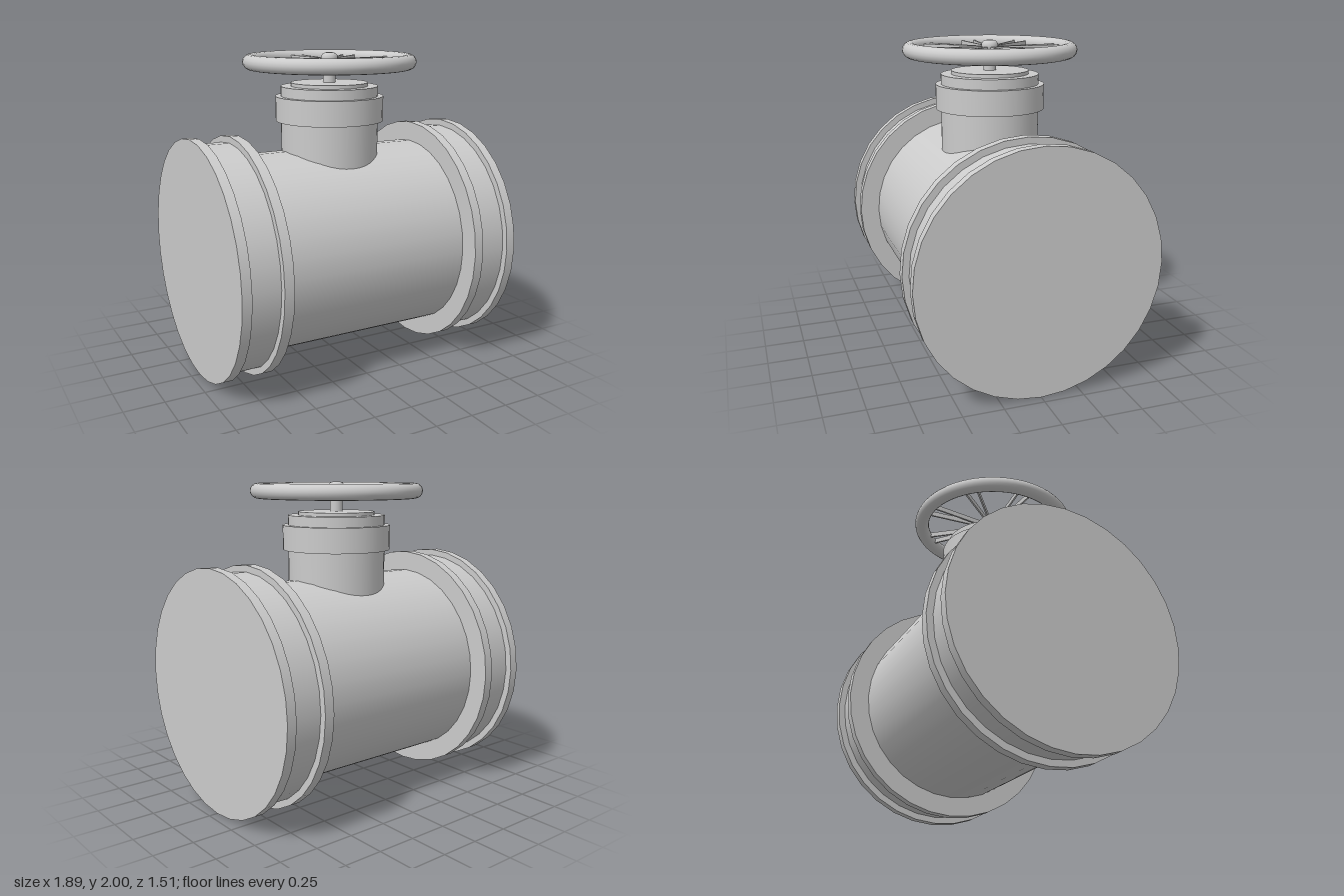
import * as THREE from 'three';

const material = new THREE.MeshStandardMaterial({ color: 0xcccccc });
const AXIS_Y = 0.757; // height of the pipe axis

function add(parent, name, geometry) {
  const mesh = new THREE.Mesh(geometry, material);
  mesh.name = name;
  parent.add(mesh);
  return mesh;
}

// Cylinder along x between x0 and x1
function pipe(parent, name, radius, x0, x1) {
  const g = new THREE.CylinderGeometry(radius, radius, x1 - x0, 32);
  g.rotateZ(-Math.PI / 2);
  g.translate((x0 + x1) / 2, AXIS_Y, 0);
  return add(parent, name, g);
}

// Upright cylinder between y0 and y1
function upright(parent, name, radius, y0, y1, sides = 40) {
  const g = new THREE.CylinderGeometry(radius, radius, y1 - y0, sides);
  g.translate(0, (y0 + y1) / 2, 0);
  return add(parent, name, g);
}

export function createModel() {
  const model = new THREE.Group();
  model.name = 'gateValve';

  // Main pipe body
  pipe(model, 'body', 0.63, -0.66, 0.66);

  // Flanged ends, mirrored
  for (const s of [-1, 1]) {
    const end = new THREE.Group();
    end.name = s > 0 ? 'leftEnd' : 'rightEnd';
    const ring = (name, r, a, b) => pipe(end, name, r, Math.min(s * a, s * b), Math.max(s * a, s * b));
    ring('innerFlange', 0.757, 0.63, 0.692);
    ring('endDrum', 0.716, 0.692, 0.885);
    ring('outerFlange', 0.757, 0.885, 0.945);
    model.add(end);
  }

  // Bonnet rising out of the body
  const bonnet = new THREE.Group();
  bonnet.name = 'bonnet';
  upright(bonnet, 'neck', 0.312, 1.2, 1.57);
  upright(bonnet, 'collar', 0.346, 1.57, 1.727);
  upright(bonnet, 'cap', 0.312, 1.727, 1.79);
  upright(bonnet, 'gland', 0.247, 1.79, 1.812);
  upright(bonnet, 'stem', 0.04, 1.812, 1.96, 24);
  model.add(bonnet);

  // Handwheel: rim, rounded hub and paired thin spokes
  const wheel = new THREE.Group();
  wheel.name = 'handwheel';
  wheel.position.y = 1.943;
  const rim = new THREE.TorusGeometry(0.503, 0.048, 16, 64);
  rim.rotateX(Math.PI / 2);
  add(wheel, 'rim', rim);

  const hubProfile = [[0, -0.01], [0.04, -0.01], [0.05, 0.005], [0.053, 0.02], [0.05, 0.038], [0.04, 0.05], [0.022, 0.056], [0, 0.057]];
  add(wheel, 'hub', new THREE.LatheGeometry(hubProfile.map(([r, y]) => new THREE.Vector2(r, y)), 24));

  for (let i = 0; i < 8; i++) {
    for (const s of [-1, 1]) {
      const g = new THREE.BoxGeometry(0.45, 0.034, 0.011);
      g.translate(0.25, 0, 0);
      const spoke = add(wheel, 'spoke', g);
      spoke.rotation.y = (i * Math.PI) / 4 + s * 0.092;
    }
  }
  model.add(wheel);

  return model;
}
